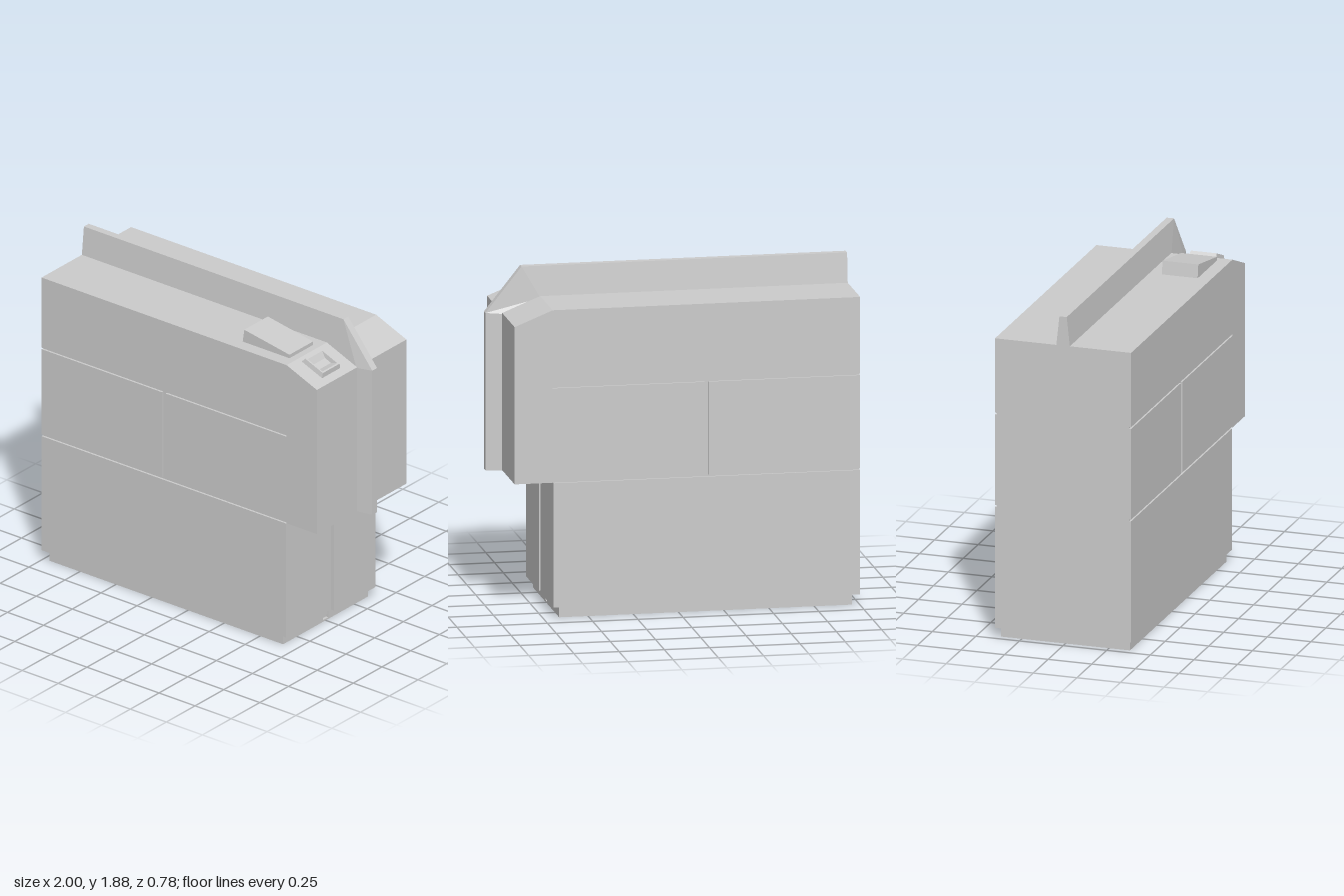
import * as THREE from 'three';

const mat = new THREE.MeshStandardMaterial({ color: 0xcccccc, flatShading: true });

function add(parent, name, geometry) {
  const mesh = new THREE.Mesh(geometry, mat);
  mesh.name = name;
  parent.add(mesh);
  return mesh;
}

// Side outline [x, y] extruded from z0 to z1
function slab(points, z0, z1) {
  const shape = new THREE.Shape(points.map(([x, y]) => new THREE.Vector2(x, y)));
  return new THREE.ExtrudeGeometry(shape, { depth: z1 - z0, bevelEnabled: false }).translate(0, 0, z0);
}

const rect = (x0, x1, y0, y1) => [[x0, y0], [x1, y0], [x1, y1], [x0, y1]];

// Skin over four-cornered rings, capped at both ends
function loft(rings) {
  const pos = [];
  const quad = (a, b, c, d) => pos.push(...a, ...b, ...c, ...a, ...c, ...d);
  for (let i = 0; i < rings.length - 1; i++) {
    for (let j = 0; j < 4; j++) {
      const k = (j + 1) % 4;
      quad(rings[i][j], rings[i][k], rings[i + 1][k], rings[i + 1][j]);
    }
  }
  quad(...[...rings[0]].reverse());
  quad(...rings[rings.length - 1]);
  const g = new THREE.BufferGeometry();
  g.setAttribute('position', new THREE.Float32BufferAttribute(pos, 3));
  g.computeVertexNormals();
  return g;
}

export function createModel() {
  const model = new THREE.Group();
  model.name = 'model';
  const W = 0.39, SKIN = 0.378;

  // Inner body, seen at the bottom of the panel grooves
  add(model, 'upperCore', slab([[-1, 0.755], [0.91, 0.755], [0.91, 1.63], [0.7, 1.715], [-1, 1.715]], -SKIN, SKIN));
  add(model, 'lowerCore', slab(rect(-1, 0.675, 0.06, 0.755), -SKIN, SKIN));

  // Side panels, separated by thin grooves
  const panels = {
    lowerPanel: rect(-1, 0.695, 0.06, 0.752),
    middlePanel: rect(-1, -0.165, 0.762, 1.28),
    upperPanel: [[-1, 1.29], [0.7, 1.29], [0.7, 1.28], [-0.14, 1.28], [-0.14, 0.762], [0.7, 0.762],
      [0.7, 0.755], [0.91, 0.755], [0.91, 1.63], [0.7, 1.715], [-1, 1.715]],
  };
  for (const [name, outline] of Object.entries(panels)) {
    add(model, name + 'Front', slab(outline, SKIN, W));
    add(model, name + 'Back', slab(outline, -W, -SKIN));
  }

  // Plinth, and end faces split by a vertical centre groove
  add(model, 'plinth', slab(rect(-0.96, 0.645, 0, 0.06), -0.37, 0.37));
  add(model, 'plinthSill', slab(rect(0.645, 0.66, 0, 0.01), -0.023, 0.023));
  for (const s of [1, -1]) {
    const span = (a, b) => (s > 0 ? [a, b] : [-b, -a]);
    add(model, 'lowerEndFace', slab(rect(0.675, 0.695, 0.06, 0.755), ...span(0.027, SKIN)));
    add(model, 'plinthEndFace', slab(rect(0.645, 0.66, 0, 0.06), ...span(0.023, 0.37)));
  }

  // Tapered spine along the top and down the end: base and crest points
  const base = [[-1, 1.705], [0.7, 1.705], [0.905, 1.625], [0.905, 0.755]];
  const crest = [[-1, 1.88], [0.8, 1.88], [1, 1.63], [1, 0.755]];
  add(model, 'spine', loft(base.map(([bx, by], i) => {
    const [cx, cy] = crest[i];
    return [[bx, by, 0.04], [bx, by, -0.04], [cx, cy, -0.021], [cx, cy, 0.021]];
  })));

  // Wedge-shaped lever on the top
  add(model, 'lever', slab([[0.335, 1.71], [0.66, 1.71], [0.66, 1.736], [0.347, 1.79]], 0.11, 0.315));

  // Bevelled button frame with a sunken centre, on the slope
  const ring = (hx, hz, y) => [[hx, y, hz], [hx, y, -hz], [-hx, y, -hz], [-hx, y, hz]];
  const button = add(model, 'button', loft([
    ring(0.078, 0.08, -0.005), ring(0.066, 0.073, 0.027), ring(0.056, 0.064, 0.027), ring(0.022, 0.06, 0.003),
  ]));
  button.position.set(0.795, 1.6765, 0.21);
  button.rotation.z = -Math.atan2(0.085, 0.21);

  return model;
}
